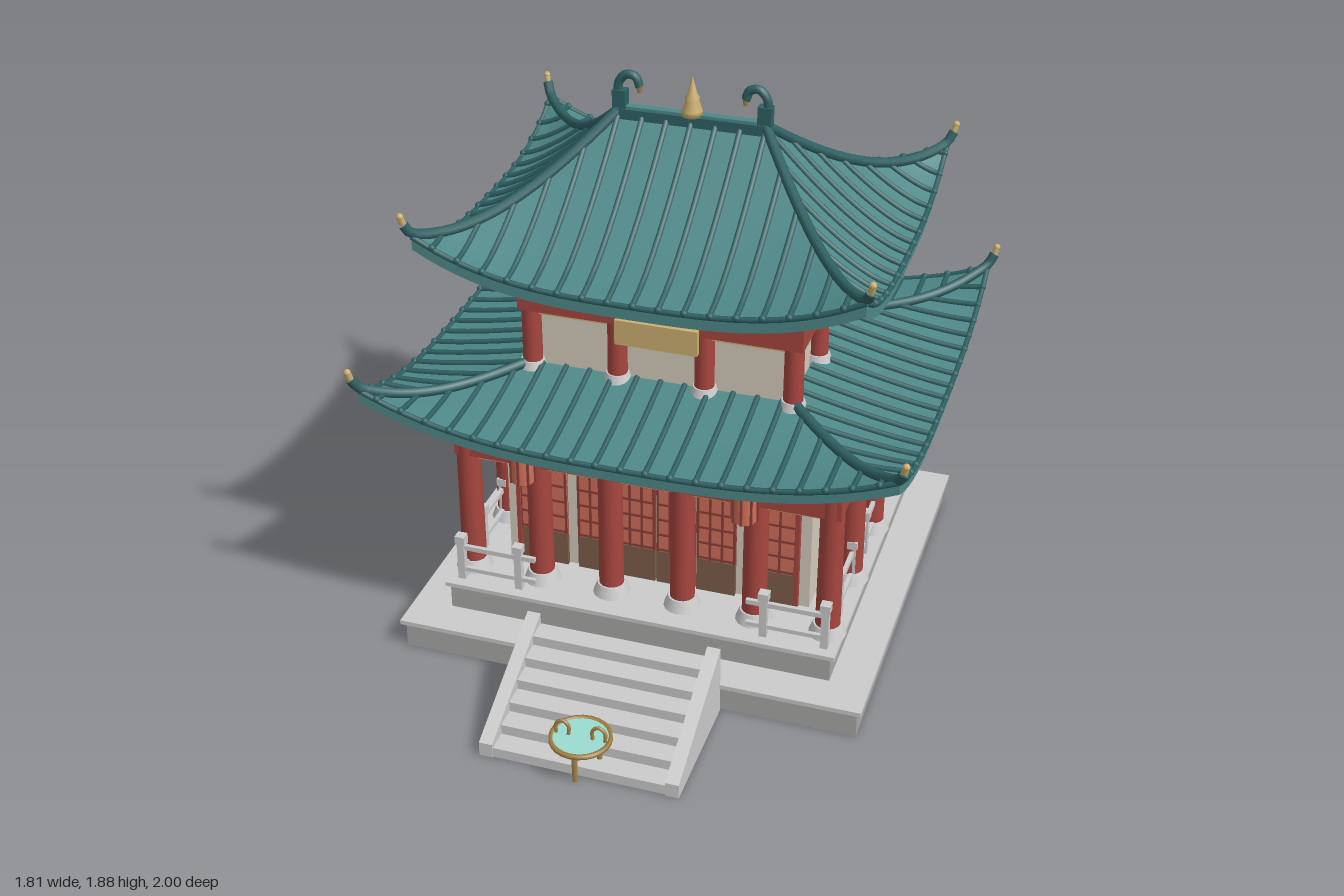
import * as THREE from 'three';

const mat = (color, side = THREE.FrontSide) => new THREE.MeshStandardMaterial({ color, side });
const M = {
  stone: mat(0xcccccc), base: mat(0xa9a9a7), red: mat(0xa8463f), cream: mat(0xd5ccbc), gold: mat(0xcbb070),
  brass: mat(0xa88648), brown: mat(0x7d5d48), paper: mat(0xd0705a), water: mat(0x9adbd0),
  tile: mat(0x4f8888, THREE.DoubleSide), rib: mat(0x2f6163), bar: mat(0x8c3f36),
};
const V = (x, y, z) => new THREE.Vector3(x, y, z);

function add(parent, name, geo, material, x = 0, y = 0, z = 0) {
  const m = new THREE.Mesh(geo, material);
  m.name = name;
  m.position.set(x, y, z);
  parent.add(m);
  return m;
}
// box given by its centre in x and z and its bottom and top in y
const box = (p, name, material, w, y0, y1, d, x = 0, z = 0) =>
  add(p, name, new THREE.BoxGeometry(w, y1 - y0, d), material, x, (y0 + y1) / 2, z);
const cyl = (p, name, material, r0, r1, y0, y1, x, z, n = 16) =>
  add(p, name, new THREE.CylinderGeometry(r1, r0, y1 - y0, n), material, x, (y0 + y1) / 2, z);
const tube = (p, name, material, pts, r, seg = 12, n = 8) =>
  add(p, name, new THREE.TubeGeometry(new THREE.CatmullRomCurve3(pts), seg, r, n), material);
function sub(parent, name) {
  const g = new THREE.Group();
  g.name = name;
  parent.add(g);
  return g;
}
const spread = (half, n) => Array.from({ length: n }, (_, i) => -half + (2 * half * i) / (n - 1));
// calls fn(x, z) around a rectangle with nx by nz evenly spaced points
function around(hx, hz, nx, nz, fn) {
  for (const x of spread(hx, nx)) for (const s of [-1, 1]) fn(x, s * hz, 0);
  for (const z of spread(hz, nz).slice(1, -1)) for (const s of [-1, 1]) fn(s * hx, z, 1);
}
// four boxes forming a rectangular ring
function ring(p, name, material, hx, hz, y0, y1, t) {
  for (const s of [-1, 1]) {
    box(p, name, material, 2 * hx, y0, y1, t, 0, s * (hz - t / 2));
    box(p, name, material, t, y0, y1, 2 * hz - 2 * t, s * (hx - t / 2), 0);
  }
}

// hipped roof with concave slopes and upswept corners
function roof(parent, name, { ex, ez, ix, iz, top, eave, lift, curve, thick }) {
  const g = sub(parent, name);
  for (let k = 0; k < 4; k++) {
    const side = sub(g, 'roofSlope');
    side.rotation.y = (k * Math.PI) / 2;
    const [L, D, l, d0] = k % 2 ? [ez, ex, iz, ix] : [ex, ez, ix, iz];
    const width = (t) => l + (L - l) * t;
    const at = (s, t, dy = 0) => V(s * width(t),
      top - (top - eave) * (1 - (1 - t) ** curve) + lift * Math.abs(s) ** 3 * t ** 3 + dy, d0 + (D - d0) * t);
    const sheet = (part, rows, fn) => {
      const geo = new THREE.PlaneGeometry(1, 1, 32, rows), pos = geo.attributes.position;
      for (let i = 0; i < pos.count; i++) {
        const q = fn(2 * pos.getX(i), 0.5 - pos.getY(i));
        pos.setXYZ(i, q.x, q.y, q.z);
      }
      geo.computeVertexNormals();
      add(side, part, geo, M.tile);
    };
    sheet('tileSurface', 14, (s, t) => at(s, t));
    sheet('soffit', 14, (s, t) => at(s, t, -thick));
    sheet('eaveFascia', 1, (s, t) => at(s, 1, -thick * t));
    // eave trim
    tube(side, 'eaveTrim', M.rib, spread(1, 17).map((s) => at(s, 1)), 0.009, 32, 6);
    // tile ribs run from the hip or ridge down to the eave
    const n = Math.floor((L - 0.03) / 0.081);
    for (let i = -n; i <= n; i++) {
      const u = i * 0.081, t0 = Math.max(0, (Math.abs(u) - l) / (L - l)) + 0.01;
      const pts = spread(0.5, 7).map((a) => {
        const t = t0 + (1 - t0) * (a + 0.5);
        return at(u / width(t), t, 0.005);
      });
      tube(side, 'tileRib', M.rib, pts, 0.0095, 10, 6);
      add(side, 'tileRibEnd', new THREE.SphereGeometry(0.012, 8, 6), M.rib, ...pts[6]);
    }
    // hip ridge with curled golden tip
    const hip = spread(0.5, 9).map((a) => at(1, a + 0.5, 0.012));
    const e = hip[8];
    hip.push(V(e.x + 0.015, e.y + 0.035, e.z + 0.018));
    tube(side, 'hipRidge', M.rib, hip, 0.017, 28);
    const tip = tube(side, 'hipTip', M.gold, [hip[9], V(e.x + 0.02, e.y + 0.06, e.z + 0.024)], 0.011, 3);
    add(tip, 'hipTipEnd', new THREE.SphereGeometry(0.012, 8, 6), M.gold, e.x + 0.02, e.y + 0.06, e.z + 0.024);
  }
  return g;
}

// columns, beams and bracket sets of one storey
function storey(parent, name, { hx, hz, nx, nz, y0, yb, y1, r, bx, bz, baseH }) {
  const g = sub(parent, name);
  around(hx, hz, nx, nz, (x, z) => {
    cyl(g, 'column', M.red, r, r * 0.95, y0, y1 - 0.005, x, z);
    cyl(g, 'columnBase', M.stone, r * 1.5, r * 1.15, y0, y0 + baseH, x, z);
  });
  ring(g, 'beam', M.red, hx + 0.035, hz + 0.035, yb, y1, 0.07);
  ring(g, 'beamTrim', M.gold, hx + 0.012, hz + 0.012, yb - 0.018, yb, 0.024);
  around(hx, hz, bx, bz, (x, z) => {
    box(g, 'bracketBlock', M.brown, 0.05, y1, y1 + 0.04, 0.05, x, z);
    box(g, 'bracketCap', M.red, 0.088, y1 + 0.04, y1 + 0.07, 0.088, x, z);
    box(g, 'bracketTrim', M.gold, 0.07, y1 + 0.032, y1 + 0.04, 0.07, x, z);
  });
  return g;
}

// lattice door leaf
function doorLeaf(parent, x, w, z) {
  const g = sub(parent, 'doorLeaf');
  g.position.set(x, 0, z);
  box(g, 'lowerPanel', M.brown, w, 0.21, 0.335, 0.016);
  box(g, 'latticePaper', M.paper, w, 0.335, 0.65, 0.008);
  for (const bx of spread(w / 2 - 0.004, 4)) box(g, 'latticeBar', M.bar, 0.008, 0.335, 0.65, 0.016, bx);
  for (const y of spread(0.15, 6)) box(g, 'latticeBar', M.bar, w, 0.488 + y, 0.496 + y, 0.016);
}

function post(parent, x, z) {
  box(parent, 'railPost', M.stone, 0.025, 0.21, 0.355, 0.025, x, z);
  box(parent, 'railPostCap', M.stone, 0.034, 0.352, 0.38, 0.034, x, z);
}

export function createModel() {
  const model = new THREE.Group();
  model.name = 'pavilion';
  const hall = sub(model, 'hall');
  hall.position.z = -0.23;

  // two-tier stone platform
  box(hall, 'lowerPlatform', M.base, 1.56, 0, 0.092, 1.43);
  box(hall, 'lowerPlatformCap', M.stone, 1.59, 0.092, 0.108, 1.46);
  box(hall, 'upperPlatform', M.base, 1.32, 0.108, 0.195, 1.2);
  box(hall, 'upperPlatformCap', M.stone, 1.35, 0.195, 0.21, 1.22);

  // stairs with sloping side slabs
  const stairs = sub(model, 'stairs');
  for (let i = 0; i < 6; i++) {
    const end = 0.93 - i * 0.0725;
    box(stairs, 'step', M.stone, 0.6, i * 0.035, (i + 1) * 0.035, end - 0.495, 0, (end + 0.495) / 2);
  }
  const slab = new THREE.Shape([[-0.495, 0], [-0.495, 0.25], [-0.935, 0.05], [-0.935, 0]].map((p) => new THREE.Vector2(...p)));
  for (const x of [-0.33, 0.285]) {
    const m = add(stairs, 'stairSlab', new THREE.ExtrudeGeometry(slab, { depth: 0.045, bevelEnabled: false }), M.stone, x);
    m.rotation.y = Math.PI / 2;
  }

  // balustrade, open at the stairs
  const rails = sub(hall, 'balustrade');
  for (const s of [-1, 1]) {
    for (const z of spread(0.56, 7)) post(rails, s * 0.63, z);
    post(rails, s * 0.425, 0.56);
    for (const [y0, y1] of [[0.325, 0.342], [0.24, 0.255]]) {
      box(rails, 'sideRail', M.stone, 0.014, y0, y1, 1.12, s * 0.63, 0);
      box(rails, 'frontRail', M.stone, 0.27, y0, y1, 0.014, s * 0.5, 0.56);
    }
  }
  for (const x of spread(0.63, 9).slice(1, -1)) post(rails, x, -0.56);
  for (const y of [0.325, 0.24]) box(rails, 'backRail', M.stone, 1.26, y, y + 0.016, 0.014, 0, -0.56);

  // lower storey with a front porch
  const low = storey(hall, 'lowerStorey', { hx: 0.62, hz: 0.48, nx: 6, nz: 4, y0: 0.21, yb: 0.67, y1: 0.745, r: 0.042, bx: 11, bz: 10, baseH: 0.04 });
  box(low, 'wall', M.cream, 1.06, 0.21, 0.74, 0.81, 0, -0.035);
  for (const s of [-1, 1]) {
    doorLeaf(low, s * 0.07, 0.134, 0.378);
    doorLeaf(low, s * 0.21, 0.134, 0.378);
    doorLeaf(low, s * 0.4, 0.17, 0.378);
    box(low, 'doorJamb', M.red, 0.014, 0.21, 0.65, 0.025, s * 0.487, 0.38);
  }
  box(low, 'porchCeiling', M.brown, 1.2, 0.74, 0.75, 0.92);
  roof(hall, 'lowerRoof', { ex: 0.87, ez: 0.735, ix: 0.43, iz: 0.32, top: 0.955, eave: 0.865, lift: 0.13, curve: 1.25, thick: 0.042 });

  // upper storey with name board left blank
  const up = storey(hall, 'upperStorey', { hx: 0.44, hz: 0.325, nx: 4, nz: 3, y0: 0.93, yb: 1.16, y1: 1.24, r: 0.033, bx: 8, bz: 7, baseH: 0.04 });
  box(up, 'wall', M.cream, 0.84, 0.75, 1.24, 0.61);
  box(up, 'doorLintel', M.red, 0.28, 1.085, 1.17, 0.05, 0, 0.325);
  box(up, 'signBoard', M.gold, 0.275, 1.1, 1.187, 0.02, 0, 0.37);
  roof(hall, 'upperRoof', { ex: 0.715, ez: 0.6, ix: 0.24, iz: 0, top: 1.735, eave: 1.365, lift: 0.13, curve: 1.4, thick: 0.045 });

  // main ridge, curled end ornaments and finial
  box(hall, 'ridge', M.rib, 0.5, 1.715, 1.75, 0.045);
  box(hall, 'ridgeCap', M.tile, 0.48, 1.745, 1.758, 0.03);
  for (const s of [-1, 1]) {
    const p = [[0.24, 1.72], [0.247, 1.78], [0.243, 1.835], [0.217, 1.862], [0.187, 1.855], [0.175, 1.825]];
    tube(hall, 'ridgeHorn', M.rib, p.map(([x, y]) => V(s * x, y, 0)), 0.015, 24);
    box(hall, 'ridgeHornFoot', M.rib, 0.045, 1.72, 1.81, 0.036, s * 0.24);
    cyl(hall, 'ridgeHornTip', M.brass, 0.008, 0.011, 1.805, 1.828, s * 0.175, 0, 8);
  }
  const profile = [[0, 1.75], [0.036, 1.75], [0.033, 1.768], [0.022, 1.8], [0.024, 1.81], [0.015, 1.825], [0.008, 1.855], [0, 1.88]];
  add(hall, 'finial', new THREE.LatheGeometry(profile.map((p) => new THREE.Vector2(...p)), 16), M.gold);

  // hanging lanterns
  for (const s of [-1, 1]) {
    const g = sub(model, 'lantern');
    g.position.set(s * 0.37, 0, 0.39);
    cyl(g, 'lanternBody', M.paper, 0.04, 0.04, 0.69, 0.79, 0, 0, 12);
    cyl(g, 'lanternTop', M.brass, 0.036, 0.028, 0.79, 0.803, 0, 0, 12);
    cyl(g, 'lanternBottom', M.brass, 0.028, 0.036, 0.68, 0.69, 0, 0, 12);
    cyl(g, 'lanternCord', M.brown, 0.005, 0.005, 0.8, 0.87, 0, 0, 6);
    for (let i = 0; i < 8; i++) {
      const a = (i * Math.PI) / 4;
      box(g, 'lanternRib', M.bar, 0.007, 0.69, 0.79, 0.007, 0.041 * Math.cos(a), 0.041 * Math.sin(a));
    }
  }

  // bronze basin on three legs
  const basin = sub(model, 'basin');
  basin.position.z = 0.9;
  const bowl = [[0, 0.09], [0.055, 0.09], [0.085, 0.11], [0.1, 0.122], [0.1, 0.135], [0.088, 0.135], [0.088, 0.125]];
  add(basin, 'bowl', new THREE.LatheGeometry(bowl.map((p) => new THREE.Vector2(...p)), 24), M.brass);
  cyl(basin, 'water', M.water, 0.088, 0.088, 0.12, 0.131, 0, 0, 24);
  for (let i = 0; i < 3; i++) {
    const a = Math.PI / 2 + (i * 2 * Math.PI) / 3;
    cyl(basin, 'basinLeg', M.brass, 0.008, 0.011, 0, 0.1, 0.058 * Math.cos(a), 0.058 * Math.sin(a), 8);
  }
  for (const s of [-1, 1]) {
    const arch = [[-0.02, 0.125], [-0.02, 0.165], [0, 0.18], [0.02, 0.165], [0.02, 0.125]];
    const h = tube(basin, 'basinHandle', M.brass, arch.map(([x, y]) => V(x, y, 0)), 0.006, 16, 6);
    h.position.x = s * 0.06;
  }
  return model;
}
